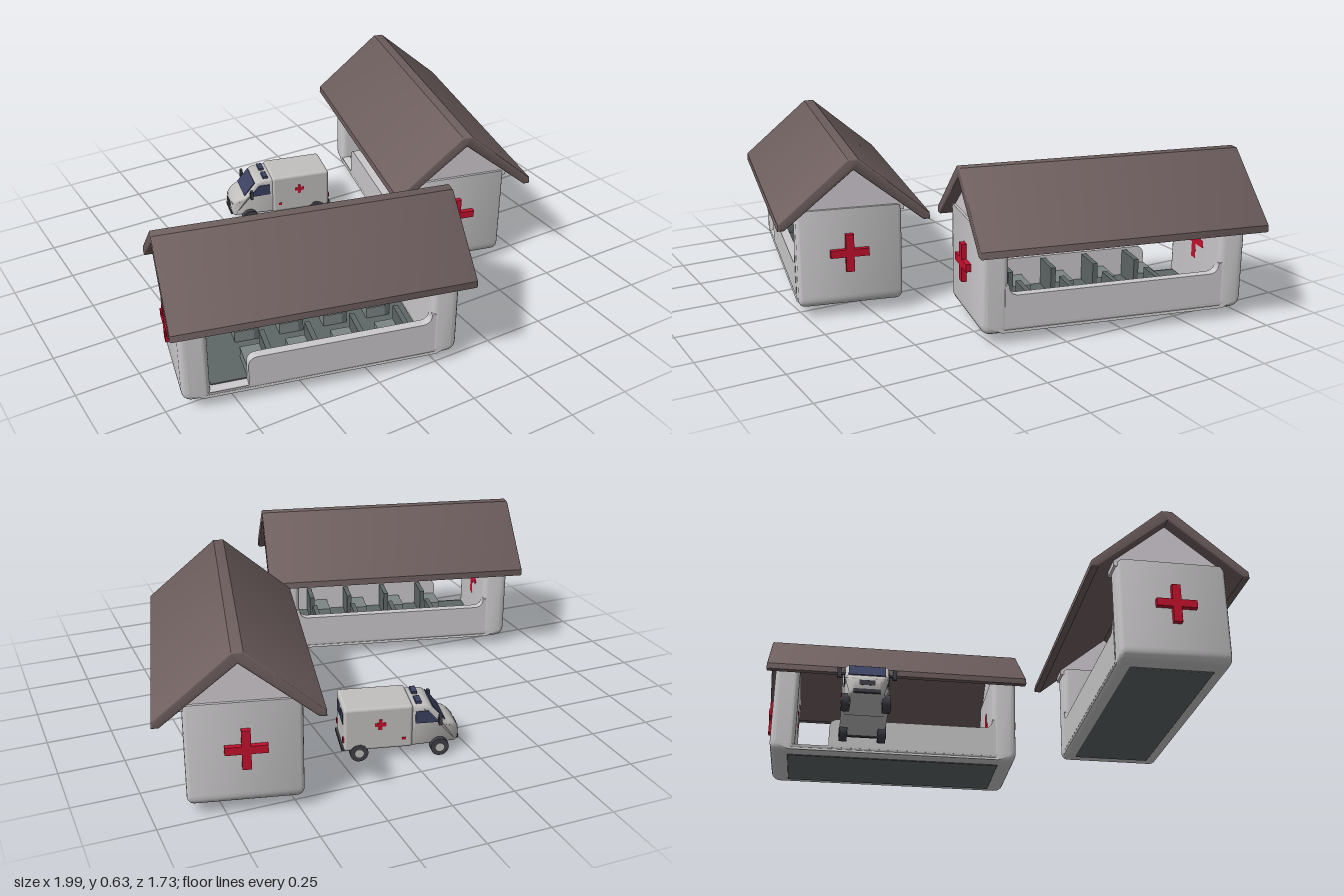
import * as THREE from 'three';
import { toCreasedNormals } from 'three/addons/utils/BufferGeometryUtils.js';
import { RoundedBoxGeometry } from 'three/addons/geometries/RoundedBoxGeometry.js';

const mat = (name, color, side = THREE.FrontSide) => {
  const m = new THREE.MeshStandardMaterial({ color, side });
  m.name = name;
  return m;
};

export function createModel() {
  const wall = mat('wall white', 0xcbc9cb);
  const gableMat = mat('gable white', 0xd3ccd2);
  const brown = mat('roof brown', 0x6f5f5f);
  const red = mat('cross red', 0xc4102e);
  const grey = mat('floor grey', 0x5f6666);
  const bedGrey = mat('bed grey', 0x7d8585);
  const paint = mat('van white', 0xc2c0bf);
  const glass = mat('glass navy', 0x3c4260);
  const tyre = mat('tyre dark', 0x3f4048);

  const add = (parent, name, geo, material, x = 0, y = 0, z = 0) => {
    const mesh = new THREE.Mesh(geo, material);
    mesh.name = name;
    mesh.position.set(x, y, z);
    parent.add(mesh);
    return mesh;
  };
  const box = (parent, name, material, size, pos) =>
    add(parent, name, new THREE.BoxGeometry(...size), material, ...pos);
  const polygon = (pts) => new THREE.Shape(pts.map(([x, y]) => new THREE.Vector2(x, y)));

  // Extrusion centred on z with rounded edges, total thickness = depth
  const slab = (shape, depth, bevel) => {
    const geo = new THREE.ExtrudeGeometry(shape, {
      depth: depth - 2 * bevel, bevelEnabled: bevel > 0, bevelSize: bevel,
      bevelThickness: bevel, bevelOffset: -bevel, bevelSegments: 4, curveSegments: 8,
    });
    geo.translate(0, 0, bevel - depth / 2);
    return toCreasedNormals(geo, 0.6);
  };

  const H = 0.525, W = 0.41, IN = 0.42; // half length, width, inner half length
  const BASE = 0.04, FLOOR = 0.07, SILL = 0.19, TOP = 0.435;

  // End walls and floor in one U-shaped piece
  const shellShape = () => {
    const s = new THREE.Shape(), r = 0.045;
    s.moveTo(-H + r, BASE);
    s.lineTo(H - r, BASE);
    s.quadraticCurveTo(H, BASE, H, BASE + r);
    s.lineTo(H, TOP);
    s.lineTo(IN, TOP);
    s.lineTo(IN, FLOOR);
    s.lineTo(-IN, FLOOR);
    s.lineTo(-IN, TOP);
    s.lineTo(-H, TOP);
    s.lineTo(-H, BASE + r);
    s.quadraticCurveTo(-H, BASE, -H + r, BASE);
    return s;
  };

  // Low side wall; the one with a door stops short with a rounded corner
  const sideShape = (door) => {
    const s = new THREE.Shape(), e = IN + 0.015, r = 0.04, y0 = FLOOR - 0.008;
    s.moveTo(door ? -0.28 : -e, y0);
    s.lineTo(e, y0);
    s.lineTo(e, SILL + r);
    s.lineTo(IN, SILL + r);
    s.quadraticCurveTo(IN, SILL, IN - r, SILL);
    if (door) {
      s.lineTo(-0.28 + r, SILL);
      s.quadraticCurveTo(-0.28, SILL, -0.28, SILL - r);
    } else {
      s.lineTo(-IN + r, SILL);
      s.quadraticCurveTo(-IN, SILL, -IN, SILL + r);
      s.lineTo(-e, SILL + r);
    }
    return s;
  };

  const ward = (name) => {
    const g = new THREE.Group();
    g.name = name;
    const body = new THREE.Group();
    body.name = 'body';
    body.position.z = 0.014;
    g.add(body);

    add(body, 'endWallsAndFloor', slab(shellShape(), W, 0.025), wall);
    for (const s of [-1, 1]) {
      add(body, 'sideWall', slab(sideShape(s > 0), 0.035, 0), wall, 0, 0, s * (W / 2 - 0.0175));
      // Cross running through the end wall
      box(body, 'crossUpright', red, [0.125, 0.15, 0.032], [s * 0.482, 0.26, 0.005]);
      box(body, 'crossArm', red, [0.125, 0.03, 0.15], [s * 0.482, 0.26, 0.005]);
    }
    box(body, 'floorCover', grey, [0.83, 0.006, 0.335], [0, FLOOR + 0.002, 0]);
    add(body, 'underside', new RoundedBoxGeometry(0.9, 0.008, 0.31, 3, 0.004), grey, 0, BASE, 0);

    // Two rows of beds with headboards
    for (const s of [-1, 1]) {
      for (let i = 0; i < 4; i++) {
        const x = -0.24 + i * 0.175;
        box(body, 'bed', bedGrey, [0.075, 0.05, 0.12], [x, 0.097, s * 0.105]);
        box(body, 'bedScreen', grey, [0.02, 0.11, 0.12], [x + 0.047, 0.127, s * 0.105]);
      }
    }

    // Gables and ridged roof
    const gable = polygon([[-0.2, 0.41], [0.2, 0.41], [0.2, 0.432], [0, 0.6], [-0.2, 0.432]]);
    for (const s of [-1, 1]) {
      const m = add(g, 'gable', slab(gable, 0.085, 0), gableMat, s * 0.472, 0, 0);
      m.rotation.y = Math.PI / 2;
    }
    const roof = polygon([
      [0.02, 0.634], [-0.02, 0.634], [-0.292, 0.402], [-0.294, 0.376], [-0.268, 0.376],
      [0, 0.592], [0.268, 0.376], [0.294, 0.376], [0.292, 0.402],
    ]);
    add(g, 'roof', slab(roof, 1.12, 0.006), brown).rotation.y = Math.PI / 2;
    return g;
  };

  const van = () => {
    const g = new THREE.Group();
    g.name = 'ambulance';
    add(g, 'rearCabin', new RoundedBoxGeometry(0.262, 0.175, 0.184, 4, 0.012), paint, 0.003, 0.1325, 0);

    // Cab side profile, narrowed towards the nose
    const cab = new THREE.Shape();
    cab.moveTo(0.1, 0.042);
    cab.lineTo(0.305, 0.042);
    cab.quadraticCurveTo(0.32, 0.045, 0.32, 0.085);
    cab.quadraticCurveTo(0.315, 0.125, 0.262, 0.138);
    cab.lineTo(0.208, 0.202);
    cab.quadraticCurveTo(0.195, 0.212, 0.17, 0.212);
    cab.lineTo(0.1, 0.212);
    const geo = slab(cab, 0.168, 0.012);
    const p = geo.attributes.position;
    for (let i = 0; i < p.count; i++) {
      const k = Math.max(0, (p.getX(i) - 0.25) / 0.07);
      p.setZ(i, p.getZ(i) * (1 - 0.35 * k * k));
    }
    geo.computeVertexNormals();
    add(g, 'cab', toCreasedNormals(geo, 0.6), paint);

    const screen = box(g, 'windscreen', glass, [0.076, 0.008, 0.142], [0.235, 0.17, 0]);
    screen.rotation.z = -Math.atan2(0.064, 0.054);
    box(g, 'grille', tyre, [0.008, 0.02, 0.06], [0.317, 0.085, 0]);
    box(g, 'frontBumper', tyre, [0.02, 0.014, 0.1], [0.312, 0.052, 0]);
    box(g, 'rearBumper', tyre, [0.012, 0.014, 0.16], [-0.13, 0.05, 0]);

    const sideWindow = polygon([[0.145, 0.14], [0.238, 0.14], [0.195, 0.19], [0.145, 0.19]]);
    for (const s of [-1, 1]) {
      add(g, 'sideWindow', slab(sideWindow, 0.006, 0), glass, 0, 0, s * 0.084);
      box(g, 'mirrorArm', tyre, [0.008, 0.008, 0.03], [0.235, 0.155, s * 0.09]);
      box(g, 'mirror', tyre, [0.012, 0.04, 0.016], [0.235, 0.16, s * 0.106]);
      box(g, 'roofLight', glass, [0.022, 0.012, 0.05], [0.16, 0.216, s * 0.04]);
      box(g, 'rearWindow', glass, [0.006, 0.045, 0.055], [-0.127, 0.17, s * 0.04]);
      box(g, 'tailLight', red, [0.008, 0.02, 0.014], [-0.128, 0.09, s * 0.078]);
      box(g, 'headlight', gableMat, [0.012, 0.018, 0.022], [0.31, 0.095, s * 0.045]);
      box(g, 'crossUpright', red, [0.014, 0.042, 0.006], [0.01, 0.15, s * 0.092]);
      box(g, 'crossArm', red, [0.042, 0.014, 0.006], [0.01, 0.15, s * 0.092]);
      box(g, 'sideMarker', red, [0.014, 0.01, 0.006], [0.1, 0.085, s * 0.092]);
      for (const x of [-0.07, 0.24]) {
        const wheel = new THREE.Group();
        wheel.name = 'wheel';
        wheel.position.set(x, 0.035, s * 0.077);
        wheel.rotation.x = Math.PI / 2;
        add(wheel, 'tyre', new THREE.CylinderGeometry(0.035, 0.035, 0.032, 20), tyre);
        add(wheel, 'hub', new THREE.CylinderGeometry(0.017, 0.017, 0.037, 16), paint);
        g.add(wheel);
      }
    }
    return g;
  };

  const model = new THREE.Group();
  model.name = 'fieldHospital';
  const place = (part, x, z, turn) => {
    part.position.set(x, 0, z);
    part.rotation.y = turn;
    model.add(part);
  };
  const TURN = -0.234;
  place(ward('frontWard'), -0.385, 0.445, TURN);
  place(ward('sideWard'), 0.575, -0.255, TURN - Math.PI / 2);
  place(van(), 0.095, -0.52, TURN + Math.PI);
  return model;
}
